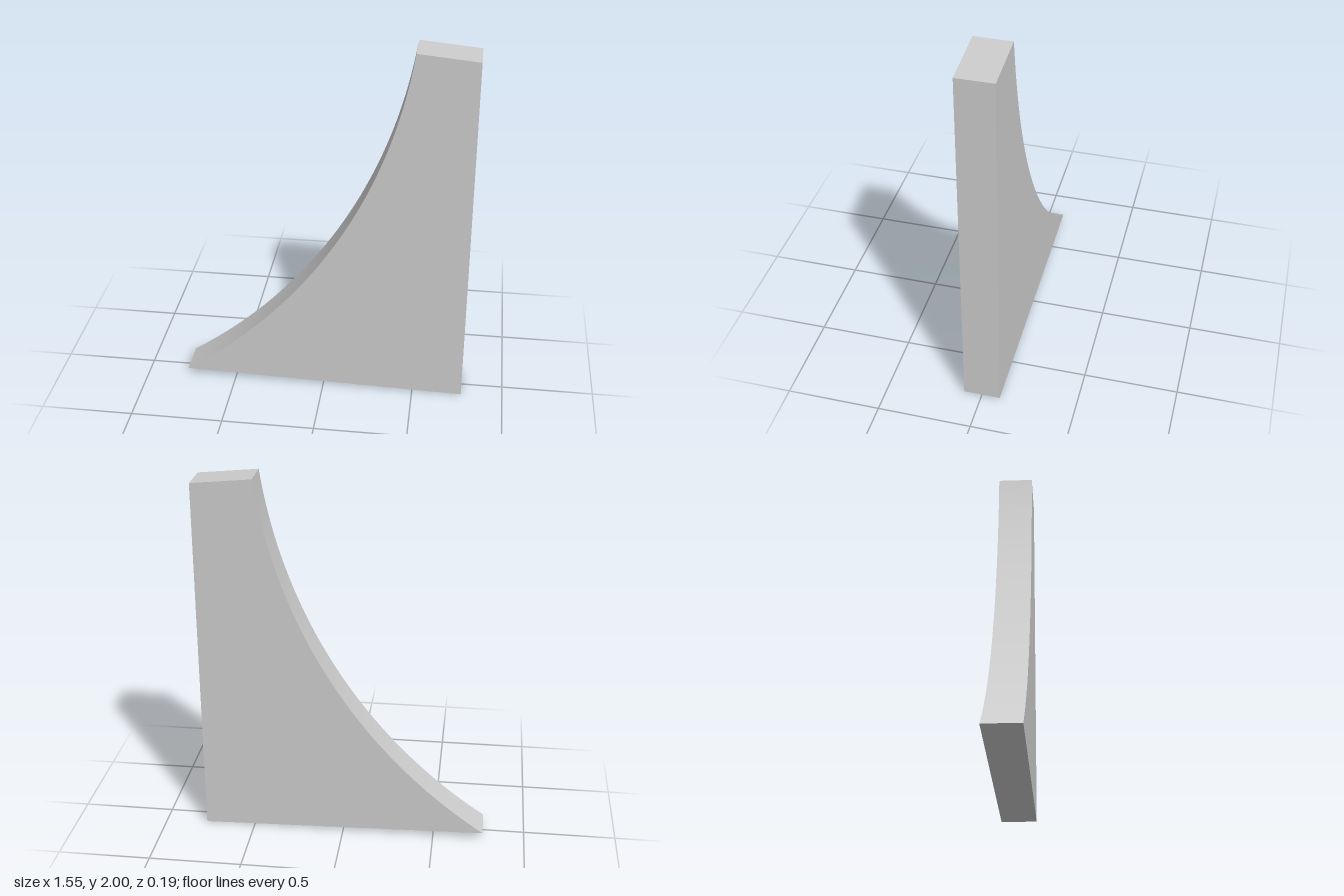
import * as THREE from 'three';

export function createModel() {
  const group = new THREE.Group();
  group.name = 'buttress';

  const thickness = 0.195;
  const toe = new THREE.Vector2(-0.773, 0.038);
  const shoulder = new THREE.Vector2(0.455, 2);

  // Concave edge: circular arc from toe to shoulder, given by its sagitta
  const sagitta = 0.247;
  const chord = shoulder.clone().sub(toe);
  const half = chord.length() / 2;
  const radius = (half * half + sagitta * sagitta) / (2 * sagitta);
  const outward = new THREE.Vector2(-chord.y, chord.x).normalize();
  const centre = toe.clone().add(shoulder).multiplyScalar(0.5)
    .addScaledVector(outward, radius - sagitta);
  const angleTo = (p) => Math.atan2(p.y - centre.y, p.x - centre.x);

  // Outline: slightly sloping base, straight upright back, sloping cap, curved edge
  const outline = new THREE.Shape();
  outline.moveTo(shoulder.x, shoulder.y);
  outline.absarc(centre.x, centre.y, radius, angleTo(shoulder), angleTo(toe), true);
  outline.lineTo(0.773, 0);
  outline.lineTo(0.773, 1.97);
  outline.closePath();

  const geometry = new THREE.ExtrudeGeometry(outline, {
    depth: thickness, bevelEnabled: false, curveSegments: 96,
  });
  geometry.translate(0, 0, -thickness / 2);

  const slab = new THREE.Mesh(geometry, new THREE.MeshStandardMaterial({ color: 0xcccccc }));
  slab.name = 'curvedSlab';
  group.add(slab);
  return group;
}
